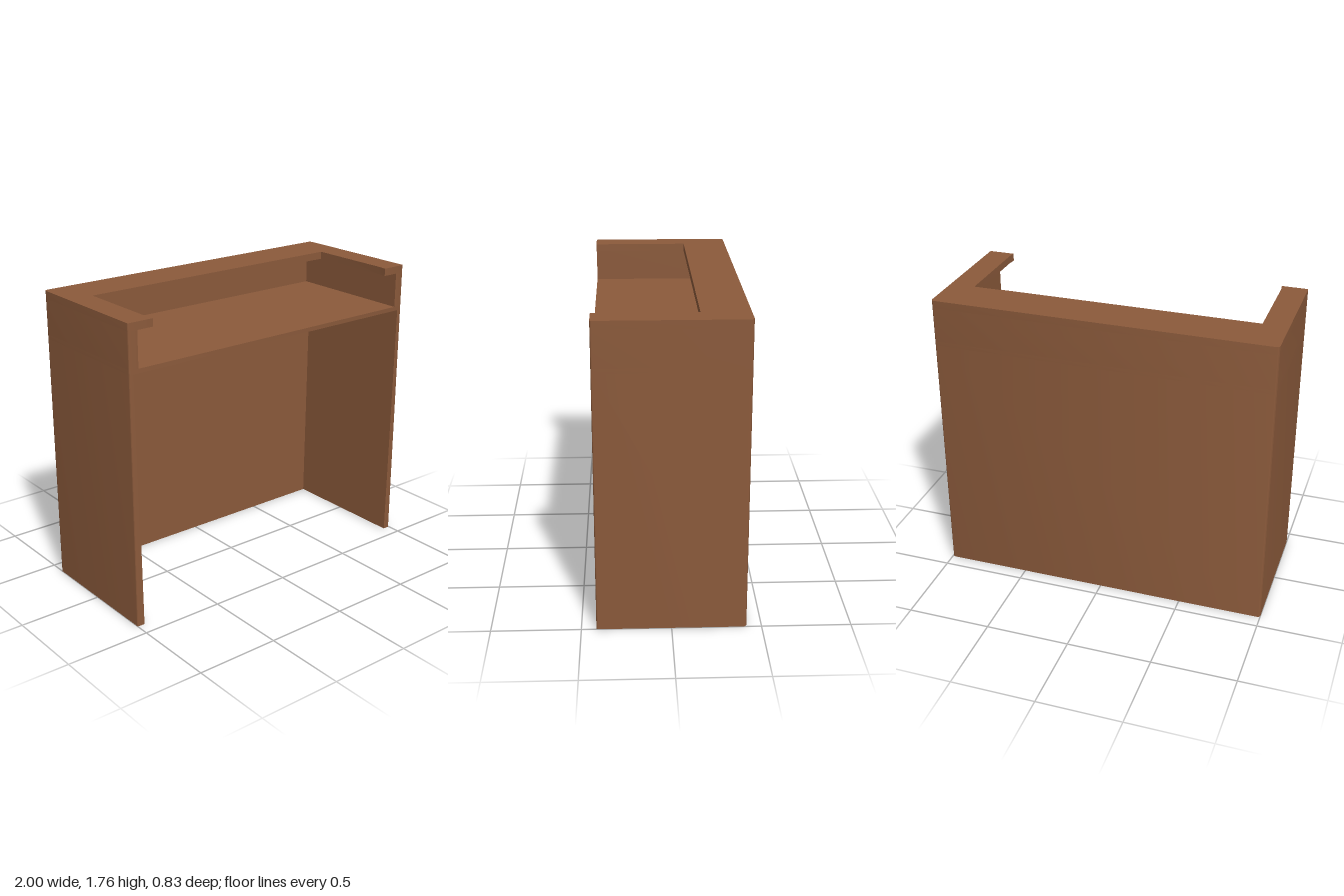
import * as THREE from 'three';
import { toCreasedNormals } from 'three/addons/utils/BufferGeometryUtils.js';

const D = 0.417;   // half depth
const RB = 0.02;   // rear corner radius
const RF = 0.01;   // front corner radius

// Plan outline seen from above (shape y = -z), open at the front when an inner contour is given.
function planShape(inner) {
  const s = new THREE.Shape();
  s.moveTo(1 - RF, -D);
  s.quadraticCurveTo(1, -D, 1, -D + RF);
  s.lineTo(1, D - RB);
  s.absarc(1 - RB, D - RB, RB, 0, Math.PI / 2, false);
  s.lineTo(-1 + RB, D);
  s.absarc(-1 + RB, D - RB, RB, Math.PI / 2, Math.PI, false);
  s.lineTo(-1, -D + RF);
  s.quadraticCurveTo(-1, -D, -1 + RF, -D);
  if (inner) {
    inner.forEach(([x, z]) => s.lineTo(-x, -z));
    [...inner].reverse().forEach(([x, z]) => s.lineTo(x, -z));
  }
  s.closePath();
  return s;
}

// Extrudes a plan outline upwards from y0 to y1.
function layer(inner, y0, y1) {
  const g = new THREE.ExtrudeGeometry(planShape(inner), { depth: y1 - y0, bevelEnabled: false, curveSegments: 5 });
  g.rotateX(-Math.PI / 2);
  g.translate(0, y0, 0);
  return g;
}

export function createModel() {
  const group = new THREE.Group();
  group.name = 'receptionDesk';
  const wood = new THREE.MeshStandardMaterial({ color: 0x8b5a3b });
  wood.name = 'brownWood';

  const add = (name, geometry) => {
    const mesh = new THREE.Mesh(toCreasedNormals(geometry, 0.6), wood);
    mesh.name = name;
    group.add(mesh);
  };

  // Lower walls around the knee space, slightly thicker towards the floor
  const walls = layer([[0.97, D], [0.97, -0.377]], 0, 1.487);
  const p = walls.attributes.position;
  for (let i = 0; i < p.count; i++) {
    if (p.getY(i) < 0.01 && Math.abs(Math.abs(p.getX(i)) - 0.97) < 1e-4) {
      p.setX(i, Math.sign(p.getX(i)) * 0.955);
    }
  }
  add('lowerWalls', walls);

  // Desk surface
  add('deskShelf', layer(null, 1.487, 1.512));

  // Upper walls around the desk surface
  add('upperWalls', layer([[0.943, D], [0.943, -0.385]], 1.512, 1.72));

  // Raised counter with its front cut-out
  add('counterTop', layer([[0.845, D], [0.851, 0.36], [0.851, -0.151]], 1.72, 1.765));

  return group;
}
